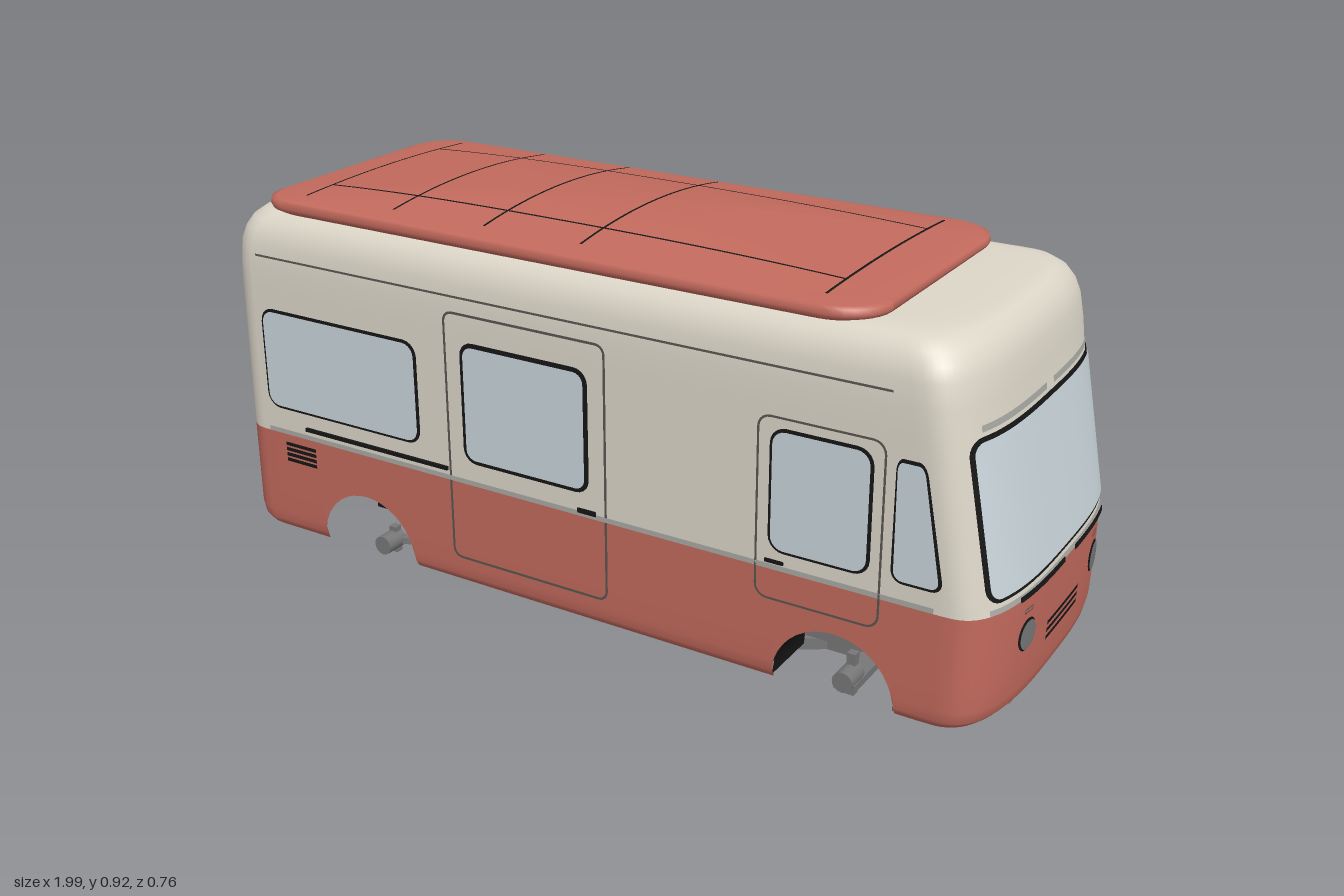
import * as THREE from 'three';

const mat = (name, color) => {
  const m = new THREE.MeshStandardMaterial({ color, side: THREE.DoubleSide });
  m.name = name;
  return m;
};
const RED = mat('brick red', 0xc36a5d), CREAM = mat('cream', 0xdcd6c8), GLASS = mat('pale glass', 0xc9d5db),
  BLACK = mat('black', 0x161616), GREY = mat('steel grey', 0x777777), TRIM = mat('trim grey', 0xa9a9a4),
  SEAM = mat('seam', 0x5a5450);

// Body levels: y, nose x, tail x, half width
const LEVELS = [
  [0.045, 0.965, -0.972, 0.362], [0.06, 0.98, -0.985, 0.372], [0.09, 0.986, -0.99, 0.375],
  [0.2, 0.99, -0.99, 0.375], [0.305, 0.99, -0.99, 0.375], [0.33, 0.985, -0.99, 0.375],
  [0.67, 0.92, -0.988, 0.375], [0.73, 0.912, -0.986, 0.374], [0.78, 0.903, -0.982, 0.37],
  [0.81, 0.893, -0.974, 0.361], [0.835, 0.877, -0.96, 0.347], [0.852, 0.855, -0.94, 0.326],
  [0.86, 0.825, -0.91, 0.295]];
const BOW = 0.13, CORNER = 0.07, BELT = 0.305;

function level(y) {
  let i = 1;
  while (i < LEVELS.length - 1 && LEVELS[i][0] < y) i++;
  const a = LEVELS[i - 1], b = LEVELS[i];
  const t = THREE.MathUtils.clamp((y - a[0]) / (b[0] - a[0]), 0, 1);
  return [1, 2, 3].map(k => a[k] + (b[k] - a[k]) * t);
}

// Surface built from a grid of points fn(i, j)
function grid(nu, nv, fn) {
  const pos = [], idx = [];
  for (let j = 0; j <= nv; j++) for (let i = 0; i <= nu; i++) pos.push(...fn(i, j));
  for (let j = 0; j < nv; j++) for (let i = 0; i < nu; i++) {
    const a = j * (nu + 1) + i, b = a + 1, c = a + nu + 1, d = c + 1;
    idx.push(a, b, d, a, d, c);
  }
  const g = new THREE.BufferGeometry();
  g.setAttribute('position', new THREE.Float32BufferAttribute(pos, 3));
  g.setIndex(idx);
  g.computeVertexNormals();
  return g;
}

// Plan outline at height y, from the tail round the left side and back; sideXs lists x stops on the flank
function outline(y, sideXs) {
  const [xf, xr, hw] = level(y), half = [[xr, 0], [xr, hw * 0.5]];
  for (let k = 0; k <= 6; k++) {
    const a = k / 6 * Math.PI / 2;
    half.push([xr + CORNER * (1 - Math.cos(a)), hw - CORNER * (1 - Math.sin(a))]);
  }
  for (const x of sideXs) half.push([x, hw]);
  for (let k = 0; k <= 18; k++) {
    const a = (1 - k / 18) * Math.PI / 2;
    half.push([xf - BOW + BOW * Math.max(0, Math.cos(a)) ** (2 / 3), hw * Math.sin(a) ** (2 / 3)]);
  }
  return half.concat(half.slice(0, -1).reverse().map(([x, z]) => [x, -z]));
}

// Points on the body skin, pushed out by off
const sideMap = s => (x, y, off) => {
  const [xf, , hw] = level(y), q = Math.max(0, (x - xf + BOW) / BOW);
  return [x, y, s * (hw * Math.cbrt(1 - q ** 3) + off)];
};
const noseMap = (z, y, off) => {
  const [xf, , hw] = level(y);
  return [xf - BOW * (1 - Math.cbrt(1 - Math.abs(z / hw) ** 3)) + off, y, z];
};
const tailMap = (z, y, off) => [level(y)[1] - off, y, z];

// Rounded rectangular plate laid on a skin
function patch(map, [u0, u1, v0, v1], r, off) {
  const rows = [];
  for (let k = 0; k <= 5; k++) {
    const a = k / 5 * Math.PI / 2;
    rows.push([v0 + r * (1 - Math.cos(a)), r * (1 - Math.sin(a))]);
  }
  const top = rows.map(([v, n]) => [v0 + v1 - v, n]).reverse();
  for (let k = 1; k < 6; k++) rows.push([v0 + r + (v1 - v0 - 2 * r) * k / 6, 0]);
  rows.push(...top);
  return grid(28, rows.length - 1, (i, j) => {
    const [v, n] = rows[j];
    return map(u0 + n + (u1 - u0 - 2 * n) * i / 28, v, off);
  });
}

// Thin rounded outline laid on a skin
function ring(map, [u0, u1, v0, v1], r, w, off) {
  const pts = [];
  [[u1 - r, v1 - r], [u0 + r, v1 - r], [u0 + r, v0 + r], [u1 - r, v0 + r]].forEach((c, q) => {
    for (let k = 0; k <= 5; k++) pts.push([...c, (q + k / 5) * Math.PI / 2]);
  });
  pts.push(pts[0]);
  return grid(pts.length - 1, 1, (i, j) => {
    const [u, v, a] = pts[i], d = r - j * w;
    return map(u + d * Math.cos(a), v + d * Math.sin(a), off);
  });
}

export function createModel() {
  const model = new THREE.Group();
  const add = (name, geo, material) => {
    const m = new THREE.Mesh(geo, material);
    m.name = name;
    model.add(m);
    return m;
  };
  const box = (name, material, x0, x1, y0, y1, z0, z1) =>
    add(name, new THREE.BoxGeometry(x1 - x0, y1 - y0, z1 - z0), material)
      .position.set((x0 + x1) / 2, (y0 + y1) / 2, (z0 + z1) / 2);
  const plate = (name, material, map, rect, r = 0.001, off = 0.003) => add(name, patch(map, rect, r, off), material);
  const grow = ([a, b, c, d], e) => [a - e, b + e, c - e, d + e];
  const windowOn = (name, map, rect, r = 0.03, e = 0.007) => {
    plate(name + 'Gasket', BLACK, map, grow(rect, e), r + e, 0.003);
    plate(name, GLASS, map, rect, r, 0.006);
  };

  // Lower shell with wheel arches
  const ARCHES = [-0.605, 0.635], R = 0.14, xs = [-0.85];
  for (const c of ARCHES) {
    for (let k = 0; k <= 20; k++) xs.push(c - R * Math.cos(k / 20 * Math.PI));
    if (c < 0) xs.push(-0.2, 0.2);
  }
  const base = outline(0.2, xs);
  const bottoms = base.map(([x, z]) => {
    let y = 0.045;
    if (Math.abs(z) > 0.37) for (const c of ARCHES)
      if (Math.abs(x - c) < R) y = Math.max(y, 0.055 + Math.sqrt(R * R - (x - c) ** 2));
    return y;
  });
  const steps = [0, 0.03, 0.07, 0.17, 0.4, 0.7, 1];
  add('lowerShell', grid(base.length - 1, steps.length - 1, (i, j) => {
    const y = bottoms[i] + (BELT - bottoms[i]) * steps[j], [x, z] = outline(y, xs)[i];
    return [x, y, z];
  }), RED);

  // Upper shell and roof
  const upXs = [-0.7, -0.4, -0.1, 0.2, 0.5], ys = [BELT, ...LEVELS.slice(5).map(l => l[0])];
  add('upperShell', grid(outline(0.5, upXs).length - 1, ys.length + 1, (i, j) => {
    const y = ys[Math.min(j, ys.length - 1)], [x, z] = outline(y, upXs)[i];
    const s = j < ys.length ? 1 : j === ys.length ? 0.9 : 0;
    return s === 1 ? [x, y, z] : [-0.05 + (x + 0.05) * s, 0.862, z * s];
  }), CREAM);

  // Roof pod with domed lid
  const crown = (x, z) => {
    const u = Math.abs(x + 0.2) / (x < -0.2 ? 0.72 : 0.875);
    return 0.886 + 0.034 * Math.max(0, 1 - u ** 2.5) * Math.max(0, 1 - (z / 0.345) ** 2);
  };
  const pod = [];
  [[0.575, 0.245], [-0.82, 0.245], [-0.82, -0.245], [0.575, -0.245]].forEach(([x, z], q) => {
    for (let k = 0; k <= 8; k++) {
      const a = (q + k / 8) * Math.PI / 2;
      pod.push([x + 0.1 * Math.cos(a), z + 0.1 * Math.sin(a)]);
    }
  });
  pod.push(pod[0]);
  const podRows = [[0.97, 0.855], [0.995, 0.862], [1, 0.87], [0.997, 0.882], [0.98], [0.9], [0.8], [0.65], [0.5], [0.33], [0.16], [0]];
  add('roofPod', grid(pod.length - 1, podRows.length - 1, (i, j) => {
    const [s, y] = podRows[j], x = -0.12 + (pod[i][0] + 0.12) * s, z = pod[i][1] * s;
    return [x, y ?? crown(x, z), z];
  }), RED);
  const roofLine = (x0, x1, z0, z1) => {
    const alongX = x1 - x0 > z1 - z0;
    add('roofSeam', grid(24, 1, (i, j) => {
      const t = i / 24, w = (j - 0.5) * 0.006;
      const x = x0 + (x1 - x0) * t + (alongX ? 0 : w), z = z0 + (z1 - z0) * t + (alongX ? w : 0);
      return [x, crown(x, z) + 0.003, z];
    }), BLACK);
  };
  for (const z of [-0.205, 0.2]) roofLine(-0.8, 0.55, z, z);
  for (const x of [-0.8, -0.54, -0.285, -0.03, 0.55]) roofLine(x, x, -0.3, 0.29);

  // Details on both flanks
  for (const s of [1, -1]) {
    const m = sideMap(s);
    windowOn('rearSideWindow', m, [-0.888, -0.432, 0.38, 0.62]);
    windowOn('cabDoorWindow', m, [0.487, 0.703, 0.355, 0.62]);
    add('cabDoorSeam', ring(m, [0.45, 0.735, 0.235, 0.65], 0.03, 0.005, 0.002), SEAM);
    const taper = (x, y, off) => m(0.757 + (x - 0.757) * (1 - 0.45 * (y - 0.355) / 0.265), y, off);
    windowOn('quarterWindow', taper, [0.762, 0.862, 0.36, 0.615], 0.02);
    plate('dripRail', SEAM, m, [-0.9, 0.74, 0.752, 0.757], 0.001, 0.003);
    plate('beltTrim', TRIM, m, [-0.9, 0.85, 0.306, 0.318], 0.001, 0.002);
    plate('cabDoorHandle', BLACK, m, [0.475, 0.52, 0.322, 0.332], 0.003, 0.006);
    for (let k = 0; k < 4; k++) plate('sideVent', BLACK, m, [-0.85, -0.755, 0.235 + k * 0.014, 0.244 + k * 0.014]);
  }
  // Entry door and awning rail on the left
  const left = sideMap(1), right = sideMap(-1);
  add('entryDoorSeam', ring(left, [-0.345, 0.085, 0.11, 0.72], 0.025, 0.006, 0.002), SEAM);
  windowOn('entryDoorWindow', left, [-0.29, 0.03, 0.372, 0.645], 0.025, 0.01);
  plate('entryDoorHandle', BLACK, left, [0.01, 0.06, 0.315, 0.328], 0.003, 0.006);
  box('awningRail', BLACK, -0.78, -0.35, 0.329, 0.338, 0.372, 0.381);
  // Second window and filler cap on the right
  windowOn('middleSideWindow', right, [-0.33, 0.08, 0.38, 0.62]);
  add('fillerCap', ring(right, [-0.09, -0.05, 0.2, 0.24], 0.02, 0.005, 0.003), SEAM);

  // Nose
  windowOn('windshield', noseMap, [-0.326, 0.326, 0.337, 0.658], 0.025, 0.009);
  plate('noseBeltTrim', TRIM, noseMap, [-0.33, 0.33, 0.306, 0.318], 0.001, 0.002);
  for (let k = 0; k < 3; k++) plate('noseVent', BLACK, noseMap, [-0.095, 0.095, 0.151 + k * 0.018, 0.16 + k * 0.018]);
  for (const s of [1, -1]) {
    const c = s * 0.202;
    plate('headlightRim', BLACK, noseMap, [c - 0.037, c + 0.037, 0.179, 0.253], 0.0369, 0.003);
    plate('headlight', GREY, noseMap, [c - 0.033, c + 0.033, 0.183, 0.249], 0.0329, 0.006);
    add('indicatorSeam', ring(noseMap, [c - 0.018, c + 0.018, 0.267, 0.278], 0.004, 0.003, 0.003), SEAM);
    const inner = s * 0.03, outer = s * 0.25;
    plate('wiper', BLACK, noseMap, [Math.min(inner, outer), Math.max(inner, outer), 0.308, 0.32], 0.003, 0.009);
    plate('browTrim', TRIM, noseMap, [s > 0 ? 0.02 : -0.3, s > 0 ? 0.3 : -0.02, 0.676, 0.69], 0.003, 0.003);
  }

  // Tail
  windowOn('rearWindow', tailMap, [-0.24, 0.24, 0.375, 0.635]);
  add('hatchSeam', ring(tailMap, [-0.29, 0.29, 0.1, 0.29], 0.02, 0.005, 0.002), SEAM);
  plate('hatchRail', BLACK, tailMap, [-0.27, 0.27, 0.69, 0.697]);
  plate('tailBeltTrim', TRIM, tailMap, [-0.3, 0.3, 0.306, 0.318], 0.001, 0.002);
  plate('hatchLatch', SEAM, tailMap, [-0.03, 0.03, 0.1, 0.16], 0.0299, 0.004);
  for (const s of [1, -1]) {
    plate('tailLight', CREAM, tailMap, [s * 0.288 - 0.016, s * 0.288 + 0.016, 0.175, 0.25], 0.004, 0.004);
    for (let k = 0; k < 4; k++)
      plate('tailVent', BLACK, tailMap, [s * 0.135 - 0.045, s * 0.135 + 0.045, 0.18 + k * 0.014, 0.189 + k * 0.014]);
  }

  // Floor and wheel wells
  box('floorTub', BLACK, -0.71, 0.92, 0.08, 0.29, -0.22, 0.22);
  box('midFloor', BLACK, -0.46, 0.49, 0.075, 0.09, -0.365, 0.365);
  for (const s of [1, -1]) {
    const liner = add('frontWheelLiner', new THREE.CylinderGeometry(0.139, 0.139, 0.147, 24, 1, true, Math.PI / 2, Math.PI), BLACK);
    liner.rotation.x = Math.PI / 2;
    liner.position.set(0.635, 0.055, s * 0.297);
    box('frontWheelWell', GREY, 0.495, 0.775, 0.08, 0.2, s * 0.225 - 0.003, s * 0.225 + 0.003);
  }

  // Ladder chassis
  const rod = (name, a, b, h, w) => {
    const A = new THREE.Vector3(...a), B = new THREE.Vector3(...b);
    const m = add(name, new THREE.BoxGeometry(w, h, A.distanceTo(B)), GREY);
    m.position.copy(A).lerp(B, 0.5);
    m.lookAt(B);
  };
  const rail = [[0.95, 0.15], [0.52, 0.15], [0.34, 0.27], [-0.3, 0.27], [-0.46, 0.17]];
  for (const s of [1, -1]) {
    for (let k = 1; k < rail.length; k++)
      rod('chassisRail', [rail[k - 1][0], 0.034, s * rail[k - 1][1]], [rail[k][0], 0.034, s * rail[k][1]], 0.028, 0.032);
    rod('frontArm', [0.635, 0.035, s * 0.15], [0.635, 0.035, s * 0.31], 0.018, 0.05);
    rod('rearArm', [-0.44, 0.035, s * 0.2], [-0.605, 0.045, s * 0.28], 0.016, 0.025);
    for (const [x, y, z] of [[0.635, 0.05, 0.29], [-0.605, 0.045, 0.3]]) {
      const hub = add('wheelHub', new THREE.CylinderGeometry(0.024, 0.024, 0.06, 16), GREY);
      hub.rotation.x = Math.PI / 2;
      hub.position.set(x, y, s * z);
      box('hubCarrier', GREY, x - 0.01, x + 0.01, x > 0 ? 0 : 0.012, x > 0 ? 0.1 : 0.08, s * (z - 0.02) - 0.01, s * (z - 0.02) + 0.01);
    }
  }
  for (const [x, w] of [[0.935, 0.16], [0.72, 0.15], [0.53, 0.15], [0.32, 0.27], [0, 0.27], [-0.29, 0.27], [-0.45, 0.22]])
    rod('crossMember', [x, 0.036, -w], [x, 0.036, w], 0.022, 0.03);
  return model;
}
